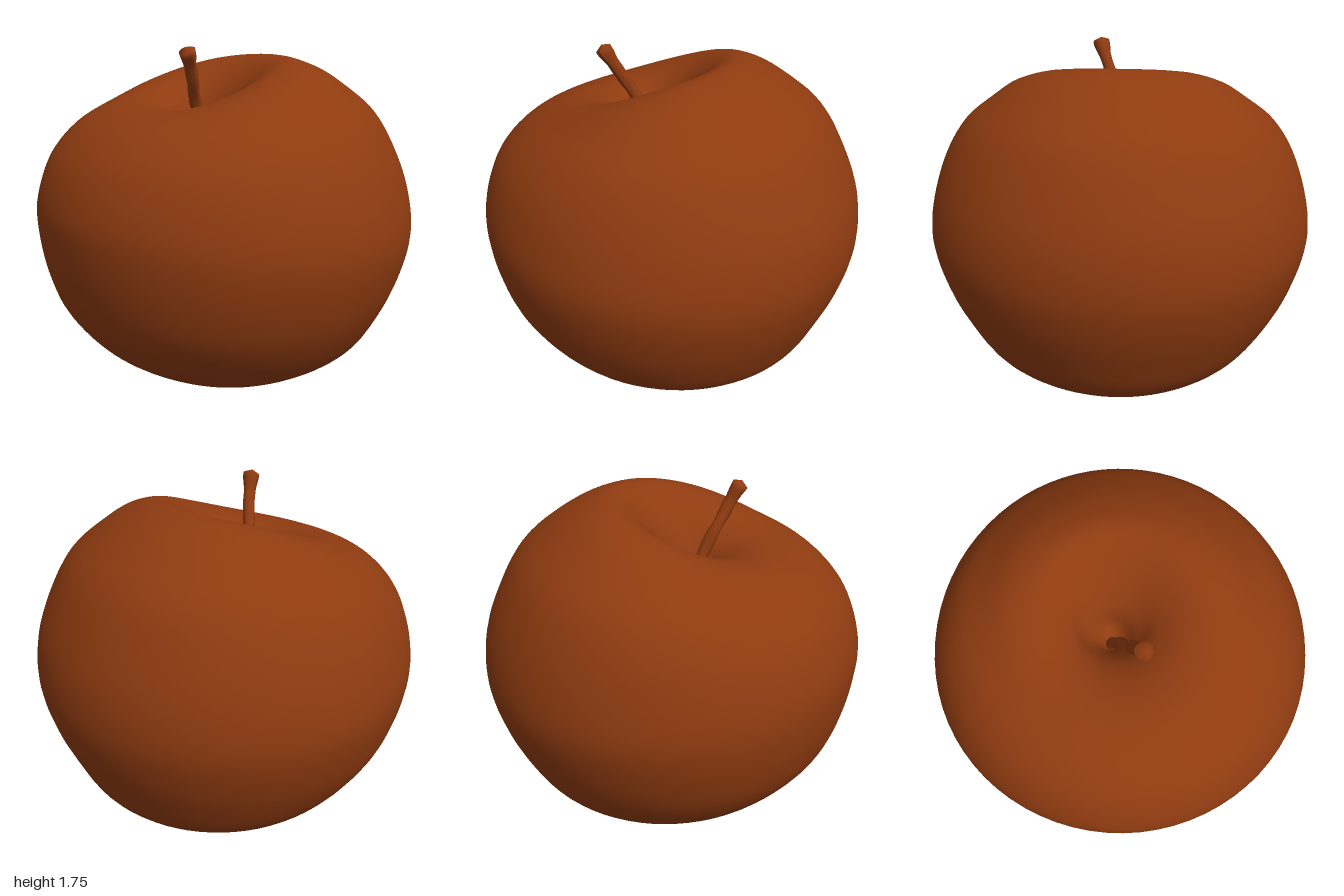
import * as THREE from 'three';

const skin = new THREE.MeshStandardMaterial({ color: 0x8f3b10 });
skin.name = 'russet brown';

// Body rings from the bottom hollow to the stem hollow:
// [front z, front y, back z, back y, half width, centre x, lift of the sides]
const RINGS = [
  [-0.05, 0.20, -0.05, 0.20, 0.00, -0.08, 0],
  [0.03, 0.17, -0.13, 0.17, 0.08, -0.08, 0],
  [0.10, 0.08, -0.22, 0.09, 0.17, -0.07, 0],
  [0.20, 0.02, -0.32, 0.045, 0.28, -0.04, 0],
  [0.32, 0.00, -0.42, 0.03, 0.39, -0.02, 0],
  [0.47, 0.05, -0.56, 0.06, 0.52, -0.01, 0],
  [0.70, 0.20, -0.75, 0.20, 0.725, 0, 0],
  [0.87, 0.40, -0.86, 0.40, 0.87, 0, 0],
  [0.95, 0.60, -0.94, 0.60, 0.955, 0, 0],
  [0.99, 0.83, -0.98, 0.80, 1.00, 0, 0],
  [0.985, 1.00, -0.96, 1.02, 0.975, 0, 0],
  [0.91, 1.20, -0.88, 1.23, 0.905, 0, 0],
  [0.78, 1.34, -0.77, 1.42, 0.80, 0, 0],
  [0.63, 1.415, -0.62, 1.55, 0.66, 0, 0.01],
  [0.50, 1.44, -0.45, 1.65, 0.52, 0, 0.03],
  [0.38, 1.43, -0.28, 1.69, 0.36, -0.01, 0.03],
  [0.28, 1.39, -0.12, 1.58, 0.22, -0.02, 0.02],
  [0.21, 1.33, 0.00, 1.43, 0.13, -0.03, 0],
  [0.16, 1.27, 0.04, 1.30, 0.06, -0.03, 0],
  [0.10, 1.25, 0.10, 1.25, 0.00, -0.03, 0],
];

// Smooth (Catmull-Rom) value between the ring rows
function ringAt(t) {
  const last = RINGS.length - 1;
  const i = Math.min(Math.floor(t), last - 1);
  const f = t - i;
  const row = (k) => RINGS[Math.max(0, Math.min(last, k))];
  return RINGS[0].map((_, k) => {
    const [a, b, c, d] = [row(i - 1)[k], row(i)[k], row(i + 1)[k], row(i + 2)[k]];
    return b + 0.5 * f * (c - a + f * (2 * a - 5 * b + 4 * c - d + f * (3 * (b - c) + d - a)));
  });
}

function bodyGeometry(sides = 72, steps = 5) {
  const pos = [];
  const index = [];
  const rows = (RINGS.length - 1) * steps;
  for (let i = 0; i <= rows; i++) {
    const [zf, yf, zb, yb, rx, cx, lift] = ringAt(i / steps);
    for (let j = 0; j < sides; j++) {
      const a = (j / sides) * Math.PI * 2;
      const c = Math.cos(a);
      const s = Math.sin(a);
      pos.push(
        cx + rx * s,
        (yf + yb) / 2 + ((yf - yb) / 2) * c + lift * s * s,
        (zf + zb) / 2 + ((zf - zb) / 2) * c,
      );
      if (i < rows) {
        const k = (j + 1) % sides;
        const p = i * sides;
        const q = p + sides;
        index.push(p + j, p + k, q + k, p + j, q + k, q + j);
      }
    }
  }
  const g = new THREE.BufferGeometry();
  g.setAttribute('position', new THREE.Float32BufferAttribute(pos, 3));
  g.setIndex(index);
  g.computeVertexNormals();
  return g;
}

// Knobbly stalk: a tube whose radius varies along its length and closes at the tip
function stemGeometry() {
  const path = new THREE.CatmullRomCurve3([
    new THREE.Vector3(-0.04, 1.23, 0.12),
    new THREE.Vector3(0.0, 1.4, 0.175),
    new THREE.Vector3(0.055, 1.55, 0.24),
    new THREE.Vector3(0.11, 1.67, 0.295),
    new THREE.Vector3(0.13, 1.75, 0.335),
  ]);
  const rows = 28;
  const sides = 10;
  const g = new THREE.TubeGeometry(path, rows, 1, sides);
  const p = g.attributes.position;
  const v = new THREE.Vector3();
  for (let i = 0; i <= rows; i++) {
    const t = i / rows;
    const centre = path.getPointAt(t);
    const flare = 0.012 * THREE.MathUtils.smoothstep(t, 0.8, 0.95);
    for (let j = 0; j <= sides; j++) {
      const lump = 0.003 * Math.sin(t * 19 + Math.cos((j / sides) * Math.PI * 2) * 2);
      const r = i === rows ? 0 : 0.031 + flare + lump;
      v.fromBufferAttribute(p, i * (sides + 1) + j).sub(centre).multiplyScalar(r).add(centre);
      p.setXYZ(i * (sides + 1) + j, v.x, v.y, v.z);
    }
  }
  g.computeVertexNormals();
  return g;
}

export function createModel() {
  const model = new THREE.Group();
  model.name = 'apple';
  const add = (geometry, name, parent = model) => {
    const mesh = new THREE.Mesh(geometry, skin);
    mesh.name = name;
    parent.add(mesh);
    return mesh;
  };

  add(bodyGeometry(), 'body');
  add(stemGeometry(), 'stem');

  // Dried sepals curled inside the bottom hollow
  const calyx = new THREE.Group();
  calyx.name = 'calyx';
  calyx.position.set(-0.08, 0.16, -0.05);
  model.add(calyx);
  const sepal = new THREE.ConeGeometry(0.04, 0.13, 7, 3).scale(1, 1, 0.4).rotateX(Math.PI);
  for (let i = 0; i < 6; i++) {
    const a = (i / 6) * Math.PI * 2;
    const mesh = add(sepal, 'sepal', calyx);
    mesh.position.set(0.075 * Math.sin(a), -0.03, 0.075 * Math.cos(a));
    mesh.rotation.set(0.5 + 0.25 * Math.sin(i * 2.3), a, 0.3 * Math.cos(i * 1.7), 'YXZ');
  }
  return model;
}
